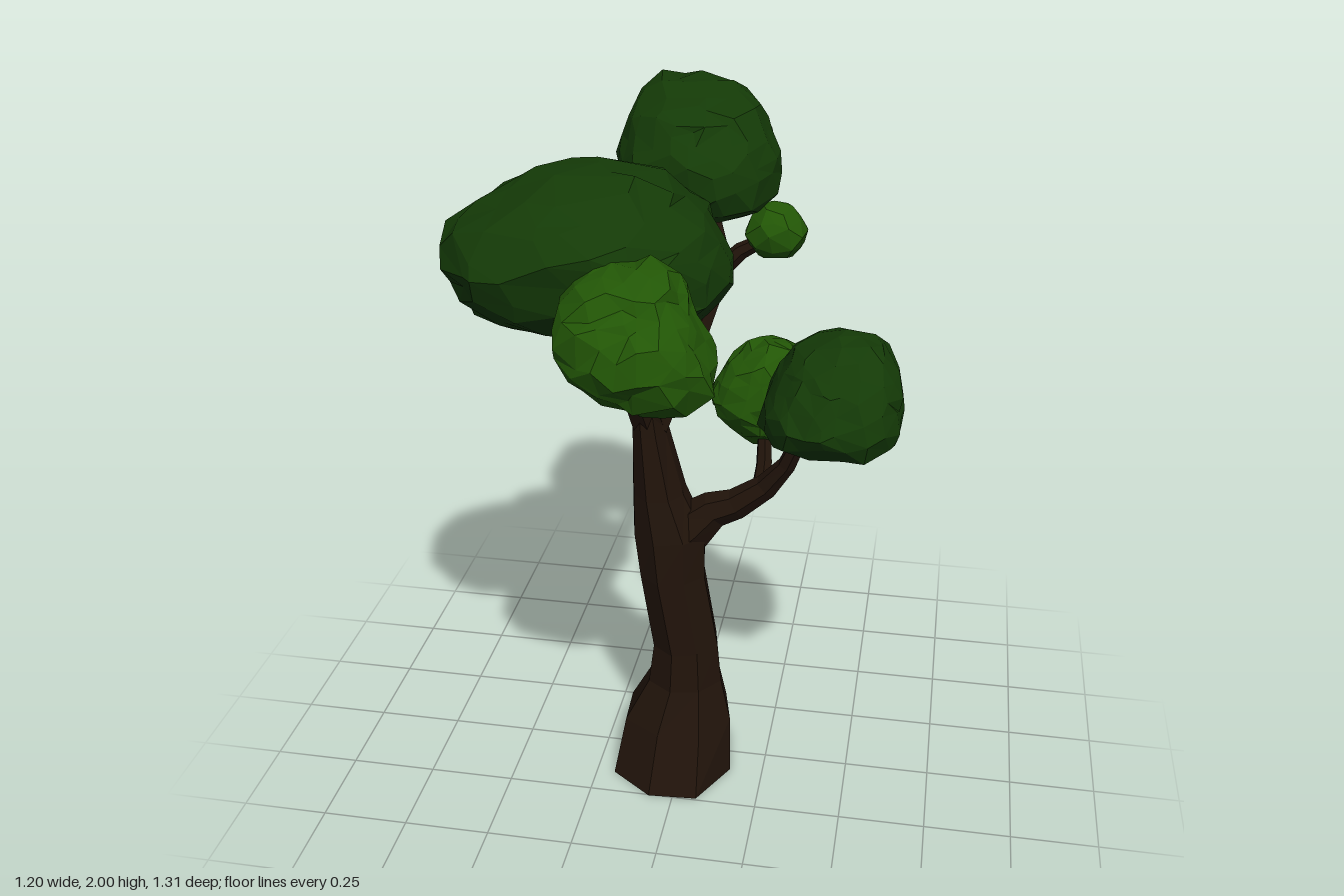
import * as THREE from 'three';
import { mergeVertices } from 'three/addons/utils/BufferGeometryUtils.js';

const material = (color) => new THREE.MeshStandardMaterial({ color, flatShading: true, roughness: 1 });

function seeded(seed) {
  let s = seed * 7919 + 17;
  return () => (s = (s * 16807) % 2147483647) / 2147483647;
}

// Loft of faceted rings along a path; each ring is [x, y, z, radiusX, radiusZ]
function limb(name, rings, sides, mat) {
  const centres = rings.map(([x, y, z]) => new THREE.Vector3(x, y, z));
  const pos = [], index = [];
  const zAxis = new THREE.Vector3(0, 0, 1), up = new THREE.Vector3(0, 1, 0);
  rings.forEach(([, , , rx, rz = rx], k) => {
    const t = name === 'trunk' ? up
      : centres[Math.min(k + 1, rings.length - 1)].clone().sub(centres[Math.max(k - 1, 0)]).normalize();
    const u = t.clone().cross(zAxis).normalize();
    const w = u.clone().cross(t);
    for (let i = 0; i < sides; i++) {
      const a = ((i + 0.3) / sides) * Math.PI * 2;
      const wobble = 1 + 0.05 * Math.sin(i * 2.4 + k * 0.6);
      const p = centres[k].clone()
        .addScaledVector(u, Math.cos(a) * rx * wobble)
        .addScaledVector(w, Math.sin(a) * rz * wobble);
      pos.push(p.x, p.y, p.z);
    }
  });
  const last = (rings.length - 1) * sides;
  for (let k = 0; k < last; k += sides) {
    for (let i = 0; i < sides; i++) {
      const a = k + i, b = k + ((i + 1) % sides);
      index.push(a, a + sides, b, b, a + sides, b + sides);
    }
  }
  for (let i = 1; i < sides - 1; i++) {
    index.push(0, i, i + 1, last, last + i + 1, last + i);
  }
  const geo = new THREE.BufferGeometry();
  geo.setAttribute('position', new THREE.Float32BufferAttribute(pos, 3));
  geo.setIndex(index);
  geo.computeVertexNormals();
  const mesh = new THREE.Mesh(geo, mat);
  mesh.name = name;
  return mesh;
}

// Is point q inside the level outlines [y, xMin, xMax, zMin, zMax], listed from the top down?
function inside(q, levels, skew, midX) {
  const k = levels.findIndex((l, i) => i > 0 && q.y <= levels[i - 1][0] && q.y >= l[0]);
  if (k < 0) return false;
  const f = (levels[k - 1][0] - q.y) / (levels[k - 1][0] - levels[k][0]);
  const [, x0, x1, z0, z1] = levels[k - 1].map((v, i) => THREE.MathUtils.lerp(v, levels[k][i], f));
  const dx = Math.abs(2 * q.x - x0 - x1) / (x1 - x0);
  const dz = Math.abs(2 * (q.z - skew * (q.x - midX)) - z0 - z1) / (z1 - z0);
  return dx ** 2.4 + dz ** 2.4 <= 1;
}

// Rough faceted ball pushed out to the surface given by the level outlines
function foliage(name, seed, { mat, detail, rough }, skew, levels) {
  const rand = seeded(seed);
  const jitter = (amount) => (rand() - 0.5) * amount;
  const low = (i) => Math.min(...levels.map((l) => l[i]));
  const high = (i) => Math.max(...levels.map((l) => l[i]));
  const min = new THREE.Vector3(low(1), low(0), low(3));
  const max = new THREE.Vector3(high(2), high(0), high(4));
  const mid = min.clone().add(max).multiplyScalar(0.5);
  const half = max.sub(min).multiplyScalar(0.5);

  let geo = new THREE.IcosahedronGeometry(1, detail);
  geo.deleteAttribute('normal');
  geo.deleteAttribute('uv');
  geo = mergeVertices(geo, 1e-4);
  const at = geo.attributes.position, p = new THREE.Vector3(), q = new THREE.Vector3();
  for (let i = 0; i < at.count; i++) {
    p.fromBufferAttribute(at, i);
    p.add(new THREE.Vector3(jitter(0.24), jitter(0.24), jitter(0.24))).normalize().multiply(half);
    let near = 0, far = 2;
    for (let n = 0; n < 14; n++) {
      const s = (near + far) / 2;
      if (inside(q.copy(mid).addScaledVector(p, s), levels, skew, mid.x)) near = s;
      else far = s;
    }
    q.copy(mid).addScaledVector(p, near * (1.005 + jitter(rough)));
    at.setXYZ(i, q.x, q.y, q.z);
  }
  geo.computeVertexNormals();
  const mesh = new THREE.Mesh(geo, mat);
  mesh.name = name;
  return mesh;
}

export function createModel() {
  const tree = new THREE.Group();
  tree.name = 'tree';
  const bark = material(0x20130a);
  const dark = { mat: material(0x143a07), detail: 3, rough: 0.07 };
  const bright = { mat: material(0x225606), detail: 3, rough: 0.13 };
  const small = { ...bright, detail: 1, rough: 0.06 };

  // Trunk with flared foot
  tree.add(limb('trunk', [
    [-0.03, 0.01, 0.032, 0.187, 0.24],
    [-0.022, 0.17, 0.005, 0.165, 0.175],
    [-0.005, 0.29, -0.01, 0.113, 0.125],
    [-0.005, 0.41, -0.015, 0.1, 0.11],
    [-0.045, 0.65, -0.01, 0.1, 0.1],
    [-0.055, 0.78, -0.015, 0.112, 0.097],
    [-0.085, 0.91, -0.02, 0.08, 0.085],
    [-0.11, 1.1, -0.025, 0.053, 0.068],
    [-0.12, 1.2, -0.02, 0.043, 0.055],
  ], 8, bark));

  // Branches
  const branches = {
    sideBranch: [[-0.07, 0.74, -0.02, 0.09], [0.015, 0.8, -0.025, 0.07], [0.075, 0.855, -0.03, 0.052],
      [0.14, 0.88, -0.03, 0.044], [0.225, 0.945, -0.03, 0.036], [0.285, 1.03, -0.01, 0.027], [0.35, 1.2, 0.03, 0.02]],
    sideTwig: [[0.21, 0.93, -0.03, 0.028], [0.21, 0.98, -0.1, 0.024], [0.2, 1.07, -0.18, 0.02]],
    frontBranch: [[-0.115, 1.12, -0.02, 0.05], [-0.135, 1.23, 0.03, 0.046], [-0.17, 1.35, 0.14, 0.035],
      [-0.205, 1.46, 0.19, 0.025], [-0.23, 1.58, 0.21, 0.02]],
    frontTwig: [[-0.155, 1.33, 0.12, 0.028], [-0.13, 1.41, 0.26, 0.021], [-0.08, 1.5, 0.4, 0.015]],
    backBranch: [[-0.11, 1.11, -0.02, 0.053], [-0.075, 1.2, -0.12, 0.048], [-0.03, 1.29, -0.24, 0.042],
      [0.01, 1.4, -0.3, 0.036], [0.04, 1.51, -0.34, 0.032], [0.005, 1.64, -0.38, 0.024], [-0.03, 1.76, -0.39, 0.016]],
    backTwig: [[0.03, 1.47, -0.32, 0.03], [0.1, 1.54, -0.33, 0.024], [0.19, 1.59, -0.335, 0.016]],
    rightTwig: [[-0.02, 1.3, -0.24, 0.035], [-0.08, 1.34, -0.3, 0.03], [-0.17, 1.39, -0.34, 0.015]],
  };
  for (const [name, rings] of Object.entries(branches)) tree.add(limb(name, rings, 6, bark));

  // Leaf clusters
  tree.add(
    foliage('mainCrown', 3, dark, -0.08, [
      [1.91, -0.34, -0.07, 0.08, 0.26], [1.85, -0.44, 0.01, -0.08, 0.37], [1.77, -0.59, 0.09, -0.14, 0.48],
      [1.68, -0.6, 0.14, -0.17, 0.47], [1.6, -0.57, 0.14, -0.16, 0.44], [1.52, -0.53, 0.09, -0.09, 0.34],
      [1.47, -0.32, 0, -0.04, 0.1]]),
    foliage('topCrown', 5, dark, 0.08, [
      [2, -0.19, 0.04, -0.55, -0.37], [1.94, -0.22, 0.14, -0.59, -0.22], [1.83, -0.26, 0.2, -0.65, -0.13],
      [1.72, -0.27, 0.2, -0.64, -0.12], [1.66, -0.21, 0.16, -0.6, -0.18], [1.64, -0.12, 0.1, -0.55, -0.28]]),
    foliage('backRightCrown', 8, dark, -0.1, [
      [1.62, -0.36, -0.18, -0.36, -0.18], [1.55, -0.45, -0.13, -0.42, -0.13], [1.45, -0.48, -0.1, -0.49, -0.11],
      [1.37, -0.45, -0.1, -0.47, -0.12], [1.31, -0.39, -0.14, -0.38, -0.19], [1.27, -0.33, -0.21, -0.34, -0.25]]),
    foliage('leftCrown', 11, dark, 0.12, [
      [1.46, 0.39, 0.51, -0.02, 0.11], [1.4, 0.29, 0.58, -0.1, 0.19], [1.32, 0.25, 0.6, -0.14, 0.25],
      [1.25, 0.22, 0.6, -0.15, 0.28], [1.18, 0.21, 0.59, -0.14, 0.25], [1.13, 0.34, 0.54, -0.03, 0.13]]),
    foliage('frontLeaves', 14, bright, -0.05, [
      [1.77, -0.12, 0.02, 0.39, 0.49], [1.72, -0.2, 0.07, 0.34, 0.56], [1.62, -0.24, 0.11, 0.29, 0.64],
      [1.53, -0.22, 0.16, 0.31, 0.65], [1.46, -0.16, 0.16, 0.37, 0.61], [1.4, -0.02, 0.07, 0.44, 0.54]]),
    foliage('lowLeaves', 17, bright, 0, [
      [1.32, 0.15, 0.26, -0.27, -0.17], [1.26, 0.1, 0.31, -0.33, -0.1], [1.16, 0.03, 0.34, -0.36, -0.07],
      [1.08, 0.07, 0.33, -0.34, -0.09], [1, 0.16, 0.24, -0.26, -0.18]]),
    foliage('smallLeaves', 21, small, 0, [
      [1.69, 0.16, 0.23, -0.37, -0.3], [1.62, 0.11, 0.29, -0.43, -0.25], [1.58, 0.11, 0.29, -0.43, -0.25],
      [1.52, 0.16, 0.24, -0.37, -0.3]]),
  );
  return tree;
}
